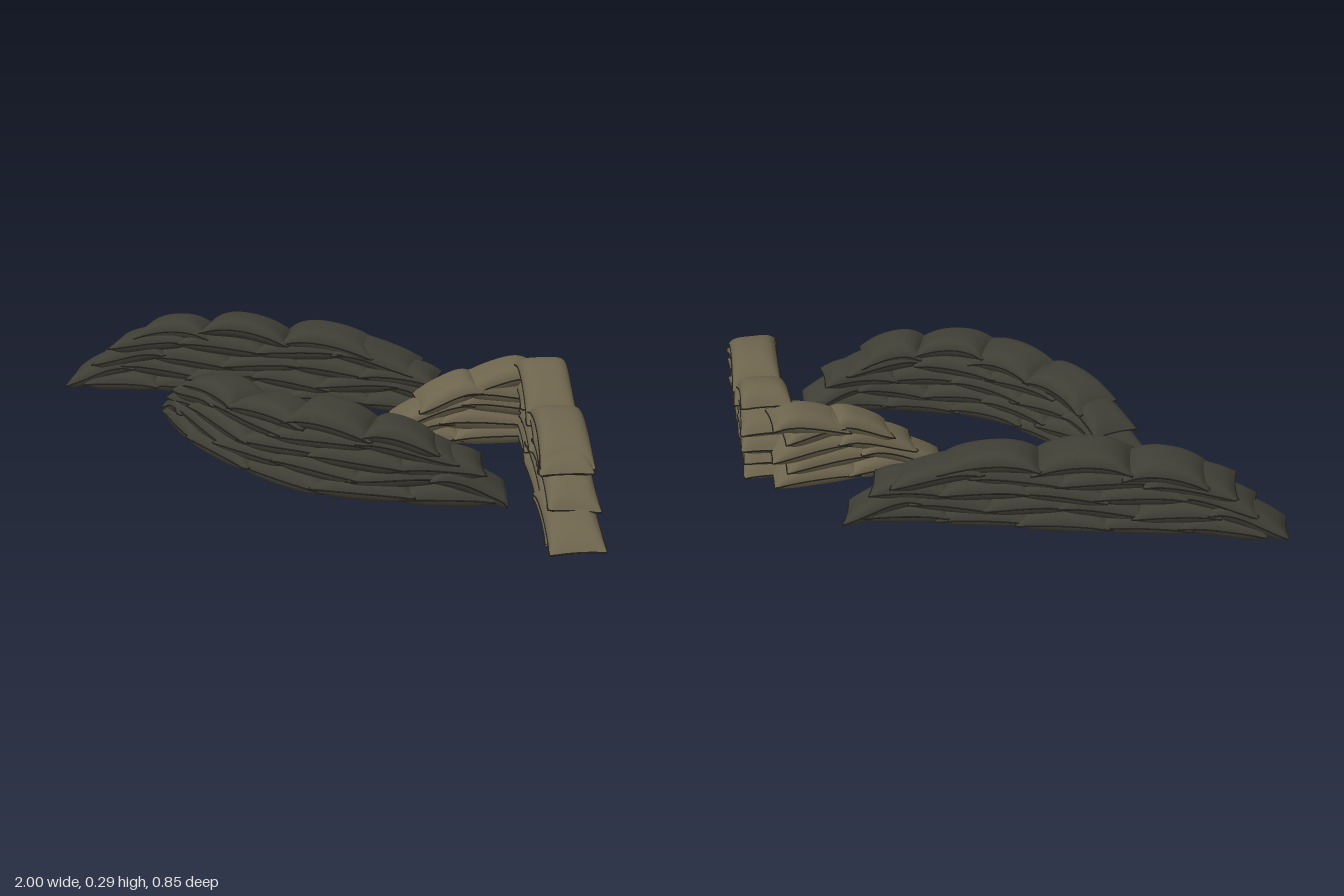
import * as THREE from 'three';
import { mergeGeometries } from 'three/addons/utils/BufferGeometryUtils.js';

const mat = (name, color) => {
  const m = new THREE.MeshStandardMaterial({ color });
  m.name = name;
  return m;
};

export function createModel() {
  const darkCloth = mat('dark cloth', 0x3f3e35);
  const tanCloth = mat('tan cloth', 0x6d644d);
  const seamThread = mat('seam thread', 0x201f1a);
  const root = new THREE.Group();
  root.name = 'sandbagWalls';

  // seeded noise in -1..1
  let seed = 7;
  const jitter = () => {
    seed = (seed * 16807) % 2147483647;
    return (seed / 2147483647) * 2 - 1;
  };

  const path = (pts) => {
    const v = pts.map(([x, z]) => new THREE.Vector3(x, 0, z));
    return v.length === 2 ? new THREE.LineCurve3(v[0], v[1]) : new THREE.CatmullRomCurve3(v);
  };

  // One sandbag bent along a wall path, from s0 to s1, with end heights y0 and y1
  function makeBag(curve, { s0, s1, y0, y1, width, hump }, cloth) {
    const length = curve.getLength();
    const side = jitter() * 0.005;
    const skew = jitter() * 0.005;
    const roll = jitter() * 0.006;
    const place = (u, v, sign) => {
      // edges pull in between the corners, leaving small ears
      const along = u * (1 - 0.05 * (1 - v * v));
      const across = v * (1 - 0.06 * (1 - u * u)) * width / 2 + side + skew * u;
      const s = THREE.MathUtils.clamp((s0 + (s1 - s0) * (along + 1) / 2) / length, 0, 1);
      const p = curve.getPointAt(s);
      const t = curve.getTangentAt(s);
      const mid = THREE.MathUtils.lerp(y0, y1, THREE.MathUtils.smoothstep(u, -1, 1)) + hump * (1 - u * u) + roll * v;
      // pinched at the ends, full along the sides
      const puff = 0.036 * Math.pow(1 - Math.abs(u) ** 3.2, 0.65) * Math.pow(1 - v ** 4, 0.5);
      const y = Math.max(0.002, mid + puff * (sign < 0 ? -0.9 : sign));
      return new THREE.Vector3(p.x + t.z * across, y, p.z - t.x * across);
    };

    // upper and lower cloth panels, with finer steps towards the rim
    const panels = [1, -1].map((sign) => {
      const g = new THREE.PlaneGeometry(2, 2, 18, 14);
      const a = g.attributes.position;
      for (let i = 0; i < a.count; i++) {
        const p = place(a.getX(i), Math.sin(a.getY(i) * Math.PI / 2), sign);
        a.setXYZ(i, p.x, p.y, p.z);
      }
      if (sign < 0) g.setIndex(Array.from(g.index.array).reverse());
      g.computeVertexNormals();
      return g;
    });
    const bag = new THREE.Group();
    bag.name = 'sandbag';
    const body = new THREE.Mesh(mergeGeometries(panels), cloth);
    body.name = 'bagCloth';

    // stitched seam around the rim
    const rim = [];
    for (const [u0, v0, u1, v1] of [[-1, -1, 1, -1], [1, -1, 1, 1], [1, 1, -1, 1], [-1, 1, -1, -1]]) {
      for (let i = 0; i < 6; i++) {
        const p = place(u0 + (u1 - u0) * i / 6, v0 + (v1 - v0) * i / 6, 0);
        p.y = Math.max(p.y, 0.004);
        rim.push(p);
      }
    }
    const seam = new THREE.Mesh(
      new THREE.TubeGeometry(new THREE.CatmullRomCurve3(rim, true), 48, 0.0024, 5, true), seamThread);
    seam.name = 'bagSeam';
    bag.add(body, seam);
    return bag;
  }

  // A wall of stacked courses [start, end, bag count, drop at start, drop at end]
  // plus top bags [start, end, start height, end height, hump]
  function makeWall(name, curve, width, cloth, courses, topBags) {
    const wall = new THREE.Group();
    wall.name = name;
    courses.forEach(([from, to, n, dropStart, dropEnd], k) => {
      const step = (to - from) / n;
      const y = 0.034 + 0.046 * k;
      for (let i = 0; i < n; i++) {
        const tilt = k ? 0.009 * (i % 2 ? 1 : -1) + jitter() * 0.005 : jitter() * 0.004;
        const first = i === 0 ? dropStart : 0;
        const last = i === n - 1 ? dropEnd : 0;
        wall.add(makeBag(curve, {
          s0: from + i * step - (i ? 0.022 : 0),
          s1: from + (i + 1) * step + (i < n - 1 ? 0.022 : 0),
          y0: y + tilt - first,
          y1: y - tilt - last,
          hump: 0.004 + 0.2 * Math.max(0, first + last),
          width: width + jitter() * 0.006,
        }, cloth));
      }
    });
    for (const [s0, s1, y0, y1, hump] of topBags) {
      wall.add(makeBag(curve, { s0, s1, y0, y1, hump, width: width + 0.002 }, cloth));
    }
    root.add(wall);
  }

  // straight dark wall; the second course drapes over the first down to the ground
  makeWall('straightWall', path([[-0.975, 0.145], [0.165, -0.36]]), 0.136, darkCloth, [
    [0.06, 1.19, 5, 0.004, 0.004],
    [0, 1.245, 6, 0.055, 0.06],
    [0.09, 1.17, 5, 0.025, 0.03],
    [0.15, 1.11, 4, 0.02, 0.025],
  ], [
    [0.23, 0.47, 0.18, 0.195, 0.024],
    [0.44, 0.72, 0.215, 0.195, 0.026],
    [0.69, 0.98, 0.205, 0.18, 0.022],
  ]);

  // curved dark wall
  makeWall('curvedWall', path([[-0.54, 0.12], [-0.35, 0.25], [-0.13, 0.325], [0.05, 0.342],
    [0.25, 0.303], [0.43, 0.215], [0.59, 0.095]]), 0.142, darkCloth, [
    [0.06, 1.22, 5, 0.004, 0.004],
    [0, 1.28, 6, 0.055, 0.06],
    [0.09, 1.19, 5, 0.025, 0.025],
    [0.15, 1.12, 4, 0.02, 0.02],
  ], [
    [0.24, 0.5, 0.18, 0.195, 0.02],
    [0.47, 0.72, 0.195, 0.2, 0.02],
    [0.66, 0.9, 0.22, 0.2, 0.022],
    [0.87, 1.07, 0.2, 0.165, 0.02],
  ]);

  // tan corner wall, short leg
  makeWall('cornerWallShortLeg', path([[0.065, 0.035], [0.445, -0.325]]), 0.138, tanCloth, [
    [0.04, 0.52, 2, 0.004, 0],
    [0, 0.48, 2, 0.055, 0],
    [0.09, 0.52, 2, 0.03, 0],
    [0.16, 0.48, 2, 0.025, 0],
  ], [
    [0.29, 0.515, 0.175, 0.215, 0.012],
  ]);

  // tan corner wall, long leg
  makeWall('cornerWallLongLeg', path([[0.44, -0.335], [0.94, 0.31]]), 0.142, tanCloth, [
    [0, 0.75, 3, 0, 0.004],
    [0, 0.815, 3, 0, 0.062],
    [0, 0.7, 4, 0, 0.02],
    [0, 0.62, 3, -0.015, 0.015],
  ], [
    [0.03, 0.31, 0.245, 0.17, 0.028],
    [0.25, 0.6, 0.185, 0.168, 0.036],
  ]);

  return root;
}
